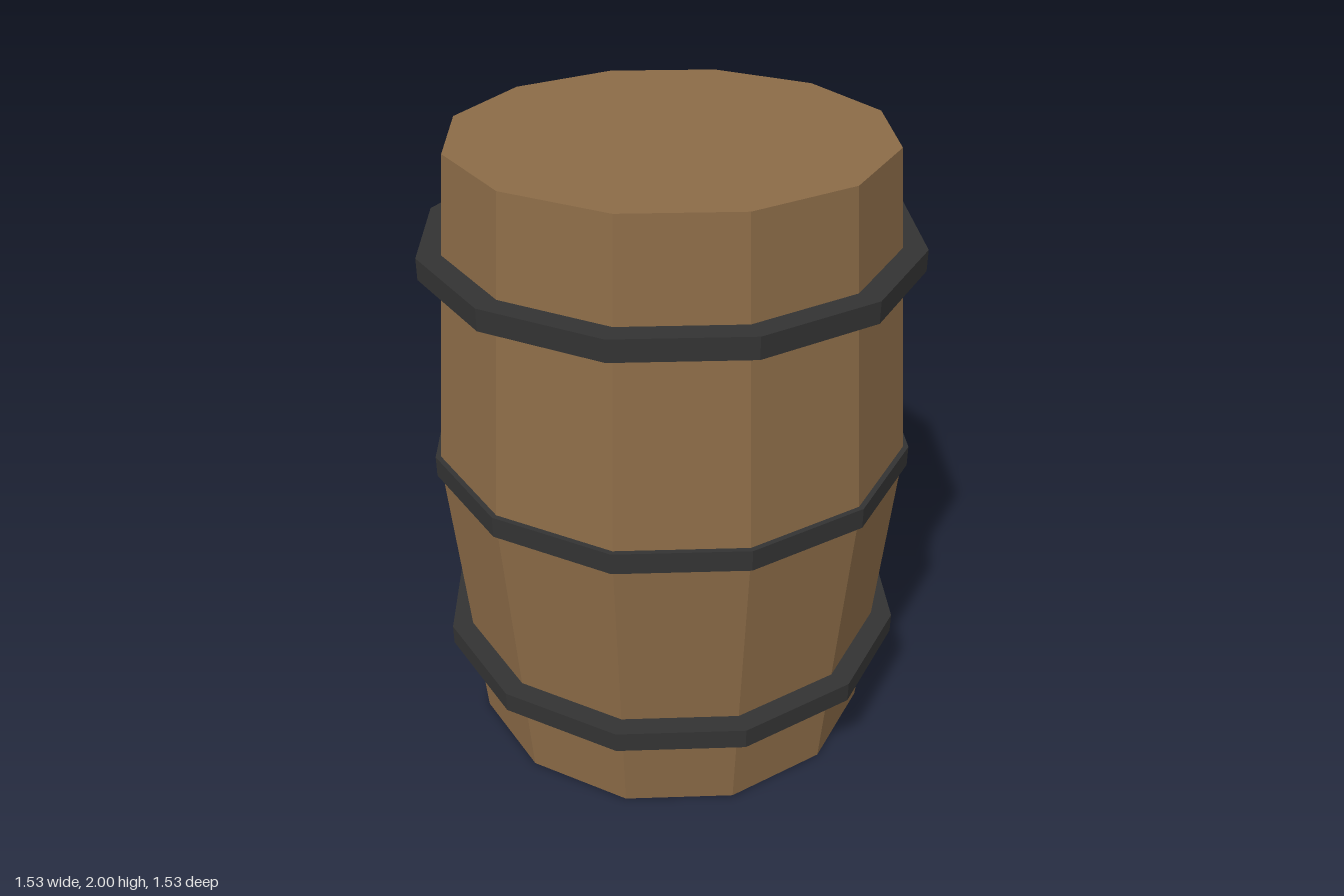
import * as THREE from 'three';

const SIDES = 12;
const HEIGHT = 2;
const END_RADIUS = 0.667;
const BELLY_RADIUS = 0.753;

export function createModel() {
  const wood = new THREE.MeshStandardMaterial({ name: 'wood', color: 0x8b6b47, flatShading: true });
  const iron = new THREE.MeshStandardMaterial({ name: 'iron', color: 0x333333, flatShading: true });
  const barrel = new THREE.Group();
  barrel.name = 'barrel';

  // Closed twelve-sided body, its middle ring of vertices pushed out to form the belly
  const bodyGeometry = new THREE.CylinderGeometry(END_RADIUS, END_RADIUS, HEIGHT, SIDES, 2);
  const pos = bodyGeometry.attributes.position;
  const bulge = BELLY_RADIUS / END_RADIUS;
  for (let i = 0; i < pos.count; i++) {
    if (Math.abs(pos.getY(i)) < 0.01) {
      pos.setX(i, pos.getX(i) * bulge);
      pos.setZ(i, pos.getZ(i) * bulge);
    }
  }
  bodyGeometry.computeVertexNormals();
  const body = new THREE.Mesh(bodyGeometry, wood);
  body.name = 'body';
  body.position.y = HEIGHT / 2;
  barrel.add(body);

  // Three equal hoops
  const hoopGeometry = new THREE.CylinderGeometry(0.767, 0.767, 0.067, SIDES);
  [['lowerHoop', 0.333], ['middleHoop', 1], ['upperHoop', 1.667]].forEach(([name, y]) => {
    const hoop = new THREE.Mesh(hoopGeometry, iron);
    hoop.name = name;
    hoop.position.y = y;
    barrel.add(hoop);
  });

  return barrel;
}
